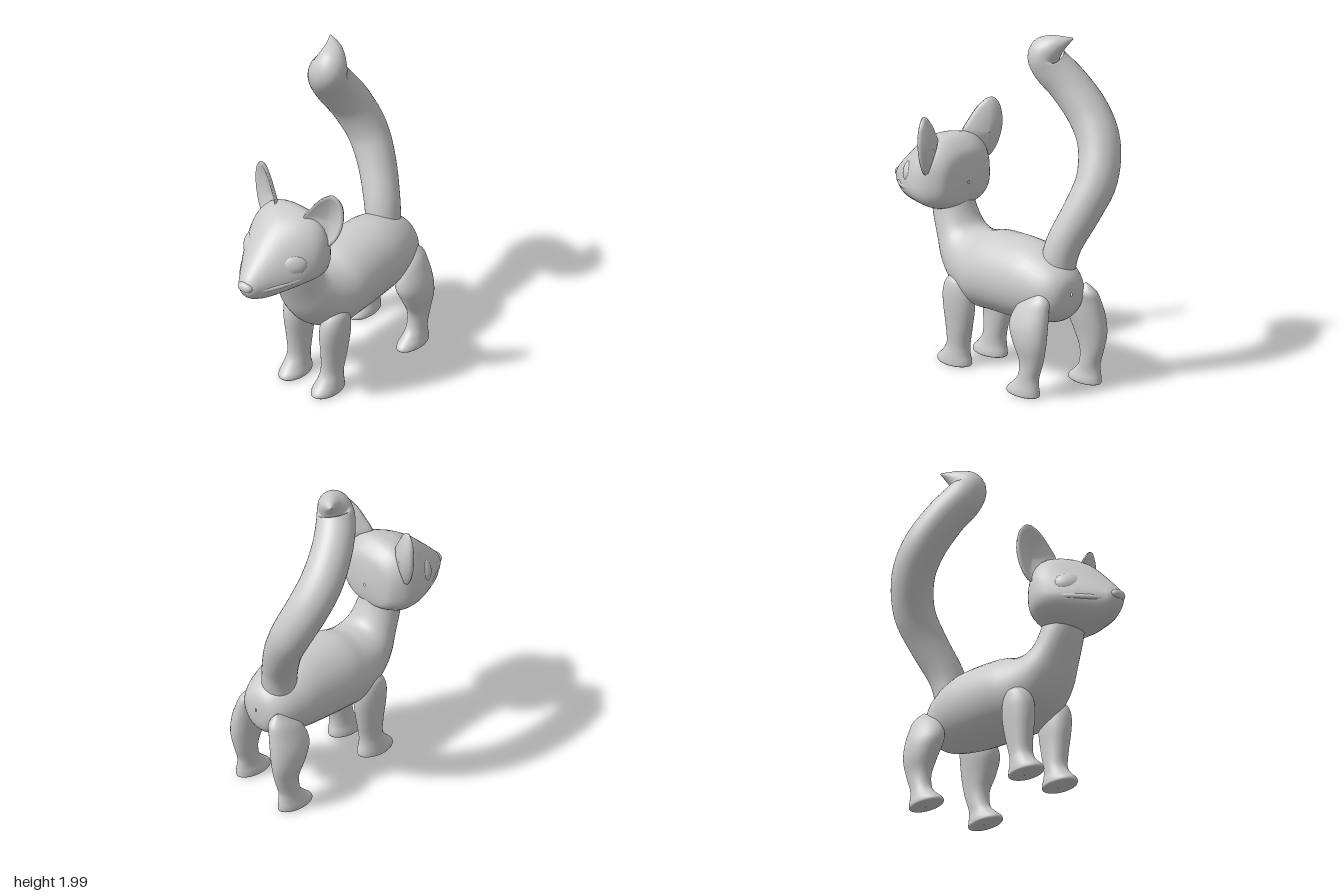
import * as THREE from 'three';

const V = (x, y, z) => new THREE.Vector3(x, y, z);
const SEG = 36;

// Skin a list of equally long closed rings into one smooth surface
function loft(rings) {
  const n = rings[0].length, pos = [], idx = [];
  rings.forEach(r => r.forEach(p => pos.push(p.x, p.y, p.z)));
  for (let i = 0; i < rings.length - 1; i++) {
    for (let j = 0; j < n; j++) {
      const k = (j + 1) % n, a = i * n + j, b = i * n + k;
      idx.push(a, b, a + n, b, b + n, a + n);
    }
  }
  const g = new THREE.BufferGeometry();
  g.setAttribute('position', new THREE.Float32BufferAttribute(pos, 3));
  g.setIndex(idx);
  g.computeVertexNormals();
  return g;
}

// Catmull-Rom interpolation of every column of a section table
function refine(table, steps = 4) {
  const out = [], last = table.length - 1;
  const row = i => table[Math.min(Math.max(i, 0), last)];
  for (let i = 0; i < last; i++) {
    for (let s = 0; s < steps; s++) {
      const t = s / steps;
      out.push(row(i).map((p1, c) => {
        const p0 = row(i - 1)[c], p2 = row(i + 1)[c], p3 = row(i + 2)[c];
        return 0.5 * (2 * p1 + (p2 - p0) * t + (2 * p0 - 5 * p1 + 4 * p2 - p3) * t * t
          + (3 * p1 - p0 - 3 * p2 + p3) * t * t * t);
      }));
    }
  }
  out.push(table[last]);
  return out;
}

const ring = fn => Array.from({ length: SEG }, (_, j) => {
  const a = j / SEG * Math.PI * 2;
  return fn(Math.cos(a), Math.sin(a));
});
const power = (v, p) => Math.sign(v) * Math.pow(Math.abs(v), p);

// Body and neck: [back z, back y, belly z, belly y, half width]
const BODY = [
  [-0.685, 0.61, -0.685, 0.59, 0.005], [-0.67, 0.69, -0.67, 0.48, 0.1],
  [-0.6, 0.76, -0.6, 0.42, 0.165], [-0.45, 0.825, -0.45, 0.385, 0.21],
  [-0.3, 0.84, -0.3, 0.37, 0.222], [-0.1, 0.83, -0.1, 0.362, 0.225],
  [0, 0.805, 0.02, 0.36, 0.212], [0.05, 0.8, 0.18, 0.435, 0.19],
  [0.1, 0.805, 0.28, 0.55, 0.17], [0.14, 0.84, 0.34, 0.68, 0.145],
  [0.18, 0.93, 0.4, 0.83, 0.125], [0.21, 1.05, 0.42, 0.93, 0.11],
];

// Head: [z, top y, bottom y, half width, widest y, corner power]
const HEAD = [
  [0.168, 1.06, 1.04, 0.005, 1.05, 1], [0.178, 1.17, 0.95, 0.12, 1.05, 0.9],
  [0.2, 1.24, 0.91, 0.19, 1.05, 0.8], [0.27, 1.3, 0.88, 0.245, 1.04, 0.78],
  [0.35, 1.3, 0.875, 0.255, 1.03, 0.85], [0.43, 1.275, 0.865, 0.232, 1.01, 1.0],
  [0.52, 1.215, 0.85, 0.185, 0.99, 1.1], [0.6, 1.14, 0.85, 0.132, 0.98, 1.05],
  [0.67, 1.07, 0.872, 0.085, 0.97, 1], [0.715, 1.02, 0.905, 0.052, 0.965, 1],
  [0.74, 0.975, 0.95, 0.005, 0.962, 1],
];

// Legs: [y, front z, back z, inner x, outer x]
const FRONT_LEG = [
  [0.01, 0.135, 0.125, 0.125, 0.13], [0.01, 0.25, 0.035, 0.062, 0.193],
  [0.035, 0.265, 0.025, 0.055, 0.2], [0.08, 0.22, 0.035, 0.065, 0.195],
  [0.14, 0.185, 0.035, 0.07, 0.19], [0.25, 0.19, 0.01, 0.07, 0.2],
  [0.37, 0.205, -0.01, 0.065, 0.212], [0.46, 0.2, -0.005, 0.07, 0.215],
  [0.53, 0.165, 0.025, 0.09, 0.2], [0.57, 0.1, 0.09, 0.14, 0.145],
];
const HIND_LEG = [
  [0.01, -0.51, -0.52, 0.2, 0.205], [0.01, -0.4, -0.615, 0.147, 0.262],
  [0.035, -0.39, -0.625, 0.14, 0.27], [0.08, -0.44, -0.62, 0.15, 0.26],
  [0.13, -0.48, -0.62, 0.15, 0.254], [0.22, -0.485, -0.65, 0.145, 0.256],
  [0.32, -0.44, -0.67, 0.13, 0.275], [0.42, -0.4, -0.67, 0.11, 0.272],
  [0.52, -0.43, -0.66, 0.1, 0.235], [0.58, -0.5, -0.645, 0.1, 0.2],
  [0.63, -0.58, -0.59, 0.14, 0.145],
];

// Tail: [x, y, z, radius]
const TAIL = [
  [0.03, 0.68, -0.53, 0.1], [0, 0.85, -0.555, 0.103], [-0.09, 1.05, -0.615, 0.11],
  [-0.18, 1.22, -0.637, 0.118], [-0.25, 1.4, -0.58, 0.122], [-0.265, 1.55, -0.48, 0.122],
  [-0.225, 1.7, -0.36, 0.117], [-0.165, 1.81, -0.275, 0.112], [-0.135, 1.885, -0.26, 0.1],
  [-0.155, 1.935, -0.305, 0.07], [-0.19, 1.962, -0.345, 0.038], [-0.235, 1.982, -0.38, 0.004],
];

// Ear outline in x and y
const EAR = [
  [0.1, 1.28], [0.14, 1.36], [0.2, 1.44], [0.26, 1.475], [0.305, 1.43],
  [0.32, 1.33], [0.3, 1.22], [0.26, 1.14], [0.235, 1.12], [0.16, 1.19],
];

function bodyGeometry() {
  return loft(refine(BODY).map(([tz, ty, bz, by, w]) => ring((c, s) =>
    V(c * w, (ty + by) / 2 + s * (ty - by) / 2, (tz + bz) / 2 + s * (tz - bz) / 2))));
}

function headGeometry() {
  return loft(refine(HEAD).map(([z, top, bot, w, cy, p]) => ring((c, s) =>
    V(power(c, p) * w, cy + power(s, p) * (s > 0 ? top - cy : cy - bot), z))));
}

function legGeometry(table, side, dz) {
  return loft(refine(table).map(([y, f, b, xi, xo]) => ring((c, s) =>
    V(side * (xi + xo) / 2 + s * (xo - xi) / 2, Math.max(y, 0.003), dz + (f + b) / 2 + c * (f - b) / 2))));
}

function tailGeometry() {
  const rows = refine(TAIL, 5);
  const curve = new THREE.CatmullRomCurve3(rows.map(r => V(r[0], r[1], r[2])));
  const n = rows.length - 1;
  // Carry one side vector along the path so the rings do not twist
  let side = V(1, 0, 0);
  return loft(rows.map(([x, y, z, r], i) => {
    const t = curve.getTangent(i / n);
    side = side.clone().addScaledVector(t, -side.dot(t)).normalize();
    const b = t.clone().cross(side);
    return ring((c, s) => V(x, y, z).addScaledVector(side, c * r).addScaledVector(b, s * r));
  }));
}

// Cupped leaf: hollow front, rim, rounded back
function earGeometry() {
  const outline = new THREE.CatmullRomCurve3(EAR.map(([x, y]) => V(x, y, 0)), true)
    .getPoints(SEG).slice(0, SEG);
  const layers = [[0.01, -0.025], [0.5, -0.018], [0.85, 0.004], [0.97, 0.012], [1, 0],
    [0.9, -0.02], [0.5, -0.042], [0.01, -0.05]];
  return loft(layers.map(([k, d]) => outline.map(p => {
    const x = 0.215 + (p.x - 0.215) * k, y = 1.28 + (p.y - 1.28) * k;
    return V(x, y, 0.325 - 0.4 * (x - 0.1) + d);
  })));
}

export function createModel() {
  const grey = new THREE.MeshStandardMaterial({ color: 0xcccccc, side: THREE.DoubleSide });
  grey.name = 'plain grey';
  const model = new THREE.Group();
  model.name = 'cat';
  const animal = new THREE.Group();
  animal.name = 'bodyAndHead';
  animal.position.x = 0.06;
  model.add(animal);

  const add = (name, geometry, parent = animal) => {
    const m = new THREE.Mesh(geometry, grey);
    m.name = name;
    parent.add(m);
    return m;
  };

  add('body', bodyGeometry());
  add('head', headGeometry());
  add('tail', tailGeometry(), model);

  const nose = add('nose', new THREE.SphereGeometry(1, 24, 16));
  nose.scale.set(0.05, 0.032, 0.032);
  nose.position.set(0, 0.975, 0.718);

  // Upper lip running from cheek to cheek
  const lip = [[-0.225, 1.0, 0.4], [-0.165, 0.975, 0.53], [-0.085, 0.955, 0.645], [0, 0.945, 0.715],
    [0.085, 0.955, 0.645], [0.165, 0.975, 0.53], [0.225, 1.0, 0.4]].map(p => V(...p));
  add('upperLip', new THREE.TubeGeometry(new THREE.CatmullRomCurve3(lip), 48, 0.016, 10));

  for (const side of [1, -1]) {
    const label = side > 0 ? 'left' : 'right';
    add(label + 'FrontLeg', legGeometry(FRONT_LEG, side, side > 0 ? 0 : -0.02));
    add(label + 'HindLeg', legGeometry(HIND_LEG, side, side > 0 ? 0 : -0.07));
    add(label + 'Ear', earGeometry()).scale.x = side;

    // Eyeball with a lid ring, turned outward
    const eye = new THREE.Group();
    eye.name = label + 'Eye';
    eye.position.set(side * 0.162, 1.075, 0.487);
    eye.rotation.set(-0.25, side * 0.85, 0, 'YXZ');
    animal.add(eye);
    add(label + 'Eyeball', new THREE.SphereGeometry(1, 24, 16), eye).scale.set(0.08, 0.06, 0.034);
    const lid = add(label + 'Eyelid', new THREE.TorusGeometry(0.066, 0.009, 10, 36), eye);
    lid.scale.set(1.22, 0.95, 1);
  }
  return model;
}
